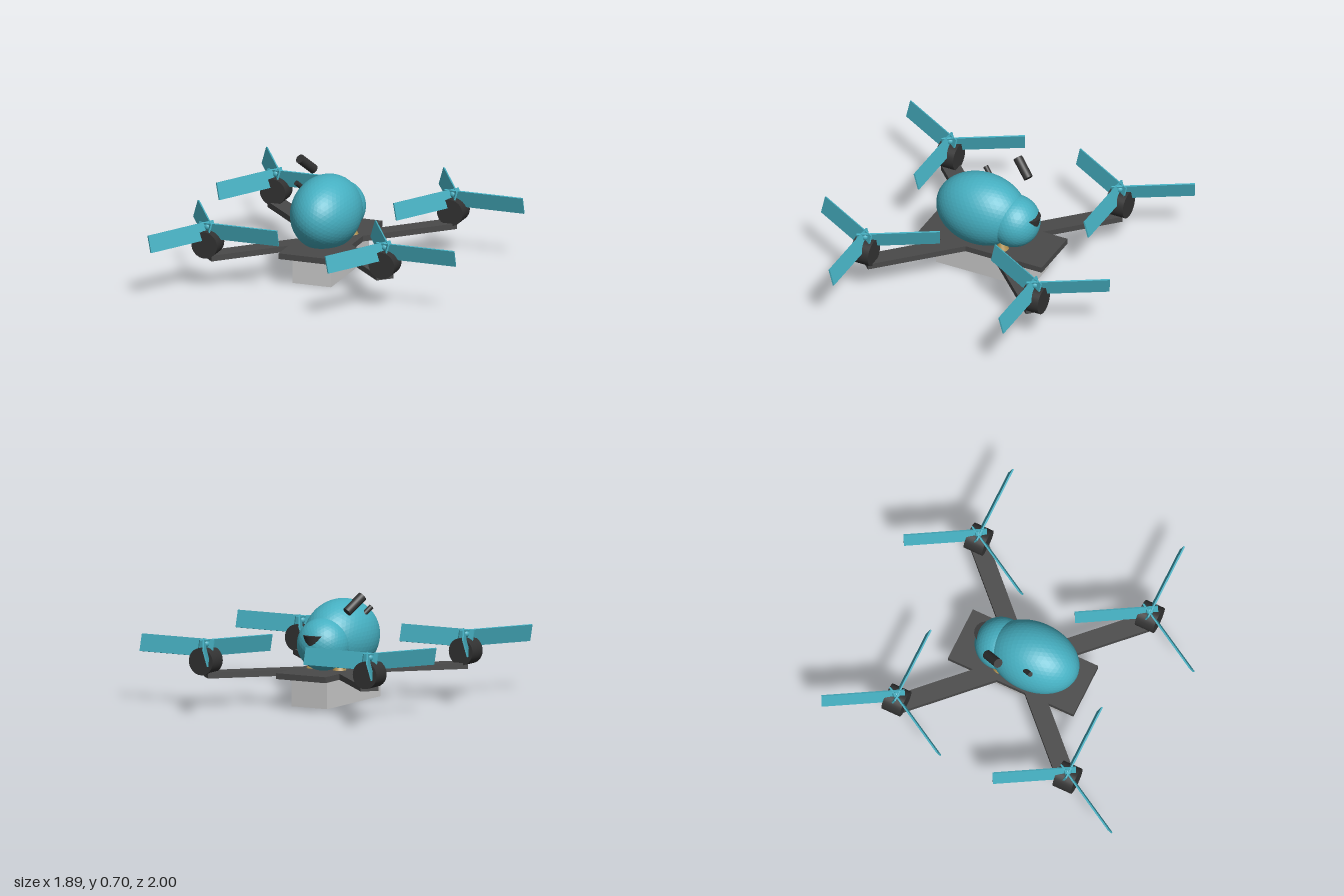
import * as THREE from 'three';

const mat = (color, flatShading = false) => new THREE.MeshStandardMaterial({ color, flatShading });
const teal = mat(0x46b0c2);
const tealFaceted = mat(0x46b0c2, true);
const frameGrey = mat(0x4a4a4a);
const black = mat(0x333333);
const tan = mat(0xb09050);
const grey = mat(0xcccccc);

const CX = -0.108; // centre line of the craft
const ARM = 0.587; // motor distance from the centre along x and z

function add(parent, name, geometry, material, x = 0, y = 0, z = 0) {
  const mesh = new THREE.Mesh(geometry, material);
  mesh.name = name;
  mesh.position.set(x, y, z);
  parent.add(mesh);
  return mesh;
}

// Cylinder running between two points
function rod(parent, name, from, to, radius, material) {
  const a = new THREE.Vector3(...from);
  const b = new THREE.Vector3(...to);
  const dir = b.clone().sub(a);
  const mesh = add(parent, name, new THREE.CylinderGeometry(radius, radius, dir.length(), 24), material);
  mesh.position.copy(a).add(b).multiplyScalar(0.5);
  mesh.quaternion.setFromUnitVectors(new THREE.Vector3(0, 1, 0), dir.normalize());
}

// Three pitched blades around a small hub
function propeller() {
  const group = new THREE.Group();
  group.name = 'propeller';
  for (let i = 0; i < 3; i++) {
    const arm = new THREE.Group();
    arm.name = 'bladeMount';
    arm.rotation.y = (i * Math.PI * 2) / 3;
    const blade = add(arm, 'blade', new THREE.BoxGeometry(0.517, 0.11, 0.01), teal, 0.206, 0, 0);
    blade.rotation.x = 0.27;
    group.add(arm);
  }
  add(group, 'hub', new THREE.SphereGeometry(0.024, 16, 12), teal, 0, 0.025, 0);
  return group;
}

export function createModel() {
  const model = new THREE.Group();
  model.name = 'quadcopter';

  // Frame: centre plate, crossed arms and battery
  add(model, 'centrePlate', new THREE.BoxGeometry(0.356, 0.037, 0.86), frameGrey, CX, 0.198, 0);
  for (const s of [-1, 1]) {
    const arm = add(model, 'crossArm', new THREE.BoxGeometry(1.66, 0.037, 0.115), frameGrey, CX, 0.198, 0);
    arm.rotation.y = (s * Math.PI) / 4;
  }
  add(model, 'battery', new THREE.BoxGeometry(0.257, 0.18, 0.65), grey, CX, 0.09, 0);

  // Motors and propellers at the four corners
  for (const sx of [-1, 1]) {
    for (const sz of [-1, 1]) {
      const x = CX + sx * ARM;
      const z = sz * ARM;
      const motor = add(model, 'motor', new THREE.CylinderGeometry(0.085, 0.085, 0.125, 32), black, x, 0.285, z);
      motor.rotation.x = Math.PI / 2;
      const prop = propeller();
      prop.position.set(x, 0.365, z);
      model.add(prop);
    }
  }

  // Egg-shaped body with a round head at the rear
  const body = add(model, 'body', new THREE.IcosahedronGeometry(1, 9), tealFaceted, CX, 0.4, 0.073);
  body.scale.set(0.213, 0.233, 0.297);
  add(model, 'head', new THREE.IcosahedronGeometry(0.165, 7), tealFaceted, CX, 0.376, -0.15);

  // Dark lens on the head
  add(model, 'lens', new THREE.CylinderGeometry(0.072, 0.05, 0.1, 24), black, CX, 0.395, -0.256);

  // Tan supports below the head
  for (const s of [-1, 1]) {
    add(model, 'support', new THREE.ConeGeometry(0.05, 0.1, 24), tan, CX + s * 0.095, 0.25, -0.115);
  }

  // Canisters on the upper side of the body
  rod(model, 'largeCanister', [-0.283, 0.59, -0.162], [-0.335, 0.68, -0.062], 0.03, black);
  rod(model, 'smallCanister', [-0.258, 0.542, 0.085], [-0.284, 0.587, 0.135], 0.016, black);

  return model;
}
